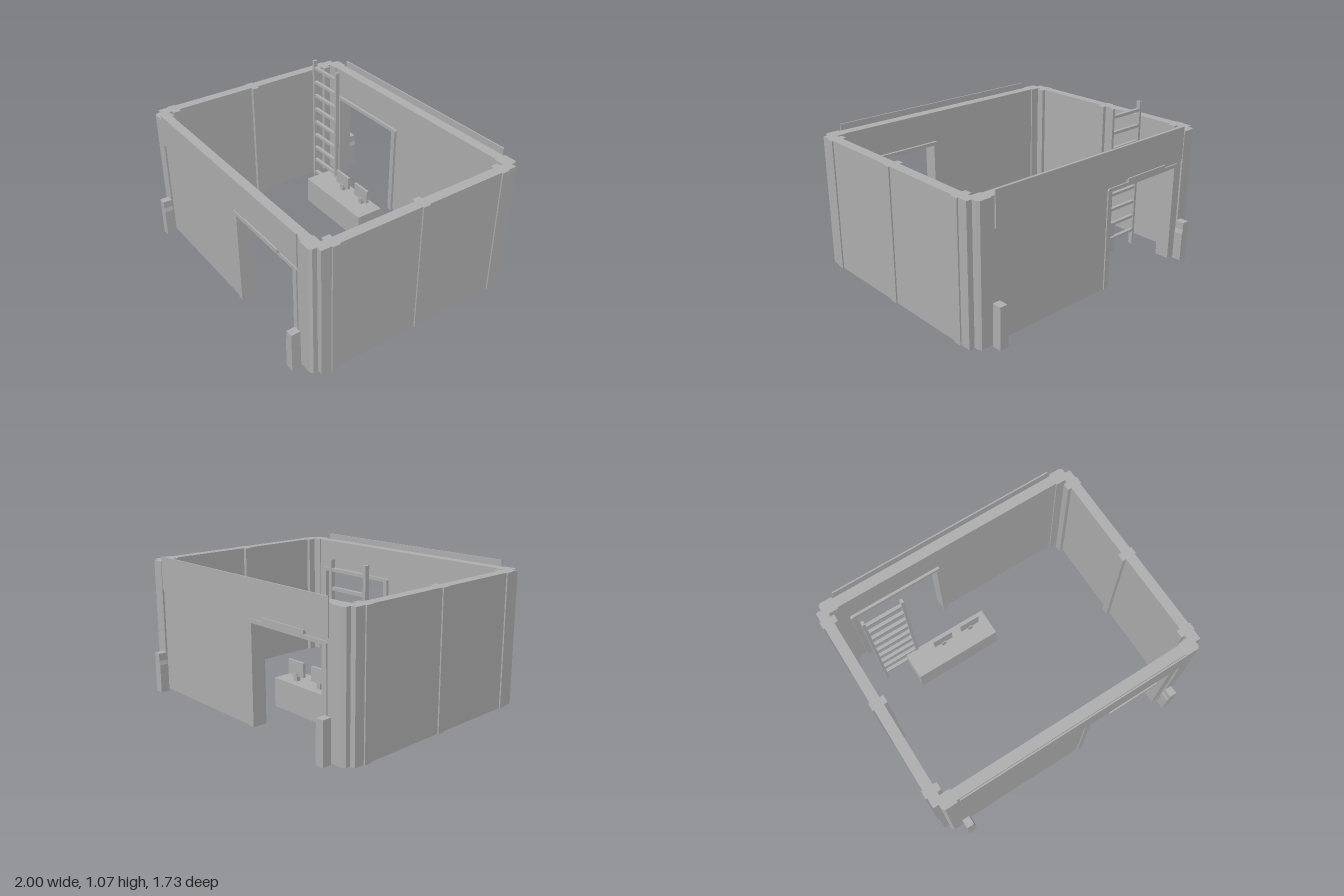
import * as THREE from 'three';

const H = 0.917; // wall height

export function createModel() {
  const model = new THREE.Group();
  model.name = 'gatehouse';
  const grey = new THREE.MeshStandardMaterial({ color: 0xb0b0b0 });
  grey.name = 'plain grey';

  const add = (parent, name, geometry) => {
    const mesh = new THREE.Mesh(geometry, grey);
    mesh.name = name;
    parent.add(mesh);
    return mesh;
  };
  // Box given by its limits on each axis
  const box = (parent, name, x0, x1, y0, y1, z0, z1) => {
    const g = new THREE.BoxGeometry(x1 - x0, y1 - y0, z1 - z0);
    g.translate((x0 + x1) / 2, (y0 + y1) / 2, (z0 + z1) / 2);
    return add(parent, name, g);
  };
  // Upright outline (x, y) extruded from z0 to z1
  const slab = (parent, name, points, z0, z1) => {
    const shape = new THREE.Shape(points.map(p => new THREE.Vector2(...p)));
    const g = new THREE.ExtrudeGeometry(shape, { depth: z1 - z0, bevelEnabled: false });
    g.translate(0, 0, z0);
    return add(parent, name, g);
  };
  // Floor plan outline (x, z) extruded to wall height
  const plan = (parent, name, points) => {
    const shape = new THREE.Shape(points.map(([x, z]) => new THREE.Vector2(x, -z)));
    const g = new THREE.ExtrudeGeometry(shape, { depth: H, bevelEnabled: false });
    g.rotateX(-Math.PI / 2);
    return add(parent, name, g);
  };

  // Front and back are the same assembly turned half round
  for (const side of ['front', 'back']) {
    const face = new THREE.Group();
    face.name = side + 'Side';
    if (side === 'back') face.rotation.y = Math.PI;
    model.add(face);

    // Wall with doorway
    slab(face, 'doorWall', [
      [-0.86, 0], [0.12, 0], [0.12, 0.685], [0.79, 0.685], [0.79, 0],
      [0.86, 0], [0.86, H], [-0.86, H],
    ], 0.70, 0.773);
    // Door frame with clipped upper corners
    slab(face, 'doorFrame', [
      [0.103, 0], [0.14, 0], [0.14, 0.675], [0.77, 0.675], [0.77, 0], [0.807, 0],
      [0.807, 0.69], [0.797, 0.70], [0.113, 0.70], [0.103, 0.69],
    ], 0.68, 0.782);
    // Fascia board and the lamp below it
    box(face, 'fasciaBoard', -0.832, 0.832, 0.727, 0.957, 0.783, 0.793);
    box(face, 'doorLamp', 0.27, 0.64, 0.709, 0.735, 0.78, 0.803);

    // Bollards
    for (const s of [-1, 1]) {
      slab(face, 'bollard', [
        [0.866 * s, 0], [0.805 * s, 0], [0.805 * s, 0.20], [0.813 * s, 0.23],
        [0.813 * s, 0.282], [0.866 * s, 0.282],
      ], 0.80, 0.863);
    }
  }

  // Side walls, corners and posts
  for (const s of [-1, 1]) {
    const xs = (a, b) => (s > 0 ? [a, b] : [-b, -a]);
    box(model, 'sideWall', ...xs(0.92, 0.99), 0, H, -0.68, 0.68);
    for (const z of [-0.641, 0, 0.641]) {
      box(model, 'wallPost', ...xs(0.893, 1), 0, H, z - 0.027, z + 0.027);
    }
    for (const t of [-1, 1]) {
      plan(model, 'cornerColumn', [
        [0.85, 0.786], [0.936, 0.786], [0.952, 0.77], [0.952, 0.738], [0.99, 0.738],
        [0.99, 0.66], [0.92, 0.66], [0.92, 0.69], [0.85, 0.69],
      ].map(([x, z]) => [x * s, z * t]));
    }
  }

  // Ladder
  const ladder = new THREE.Group();
  ladder.name = 'ladder';
  model.add(ladder);
  for (const x of [-0.776, -0.498]) {
    box(ladder, 'ladderRail', x - 0.01, x + 0.01, 0, 1.07, -0.462, -0.432);
  }
  for (let i = 0; i < 9; i++) {
    const y = 1.01 - i * 0.113;
    box(ladder, 'ladderRung', -0.768, -0.506, y - 0.01, y + 0.01, -0.459, -0.435);
  }

  // Desk with two monitors
  box(model, 'desk', -0.588, 0.06, 0, 0.2, -0.444, -0.24);
  for (const x of [-0.31, -0.085]) {
    const monitor = new THREE.Group();
    monitor.name = 'monitor';
    monitor.position.set(x, 0.2, -0.375);
    model.add(monitor);
    box(monitor, 'screen', -0.074, 0.074, 0.035, 0.135, -0.009, 0.009);
    box(monitor, 'stand', -0.016, 0.016, 0, 0.05, -0.015, 0.015);
  }
  return model;
}
